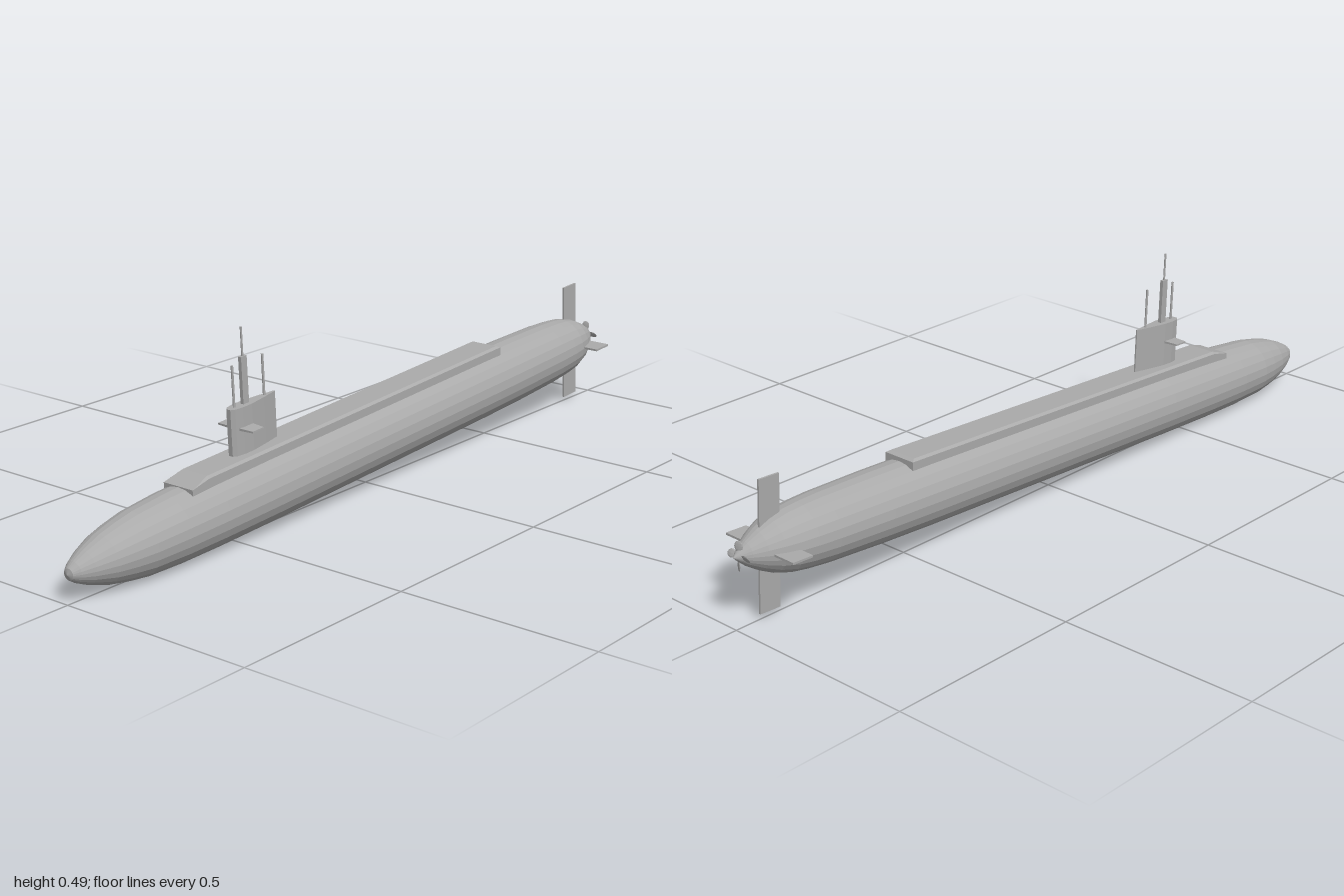
import * as THREE from 'three';
import { ConvexGeometry } from 'three/addons/geometries/ConvexGeometry.js';

export function createModel() {
  const model = new THREE.Group();
  model.name = 'submarine';
  const grey = new THREE.MeshStandardMaterial({ color: 0xaaaaaa, flatShading: true });
  grey.name = 'hull grey';

  // Everything is built on a level axis along x (bow at -x), then pitched slightly bow-down.
  const boat = new THREE.Group();
  boat.name = 'boat';
  boat.rotation.z = 0.052;
  boat.position.y = 0.128;
  model.add(boat);

  const add = (name, geometry, x = 0, y = 0, z = 0, parent = boat) => {
    const mesh = new THREE.Mesh(geometry, grey);
    mesh.name = name;
    mesh.position.set(x, y, z);
    parent.add(mesh);
    return mesh;
  };

  // Hull: 24-sided body of revolution
  const profile = [
    [0, -1], [0.014, -0.995], [0.025, -0.98], [0.04, -0.95], [0.058, -0.9], [0.069, -0.85],
    [0.077, -0.8], [0.083, -0.7], [0.086, -0.58], [0.0875, -0.4], [0.0875, 0.45], [0.086, 0.6],
    [0.082, 0.76], [0.078, 0.82], [0.073, 0.86], [0.062, 0.9], [0.046, 0.935], [0.028, 0.965],
    [0.012, 0.985], [0, 0.998],
  ].map(([r, x]) => new THREE.Vector2(r, x));
  add('hull', new THREE.LatheGeometry(profile, 24).rotateZ(-Math.PI / 2));

  // Missile deck: long casing with bevelled edges and a ramp at the bow end
  const deckPoints = [];
  for (const s of [-1, 1]) {
    for (const [x, y, z] of [
      [-0.655, 0.06, 0.044], [-0.655, 0.086, 0.044], [-0.6, 0.096, 0.044], [-0.6, 0.101, 0.037],
      [0.5, 0.101, 0.037], [0.51, 0.096, 0.044], [0.51, 0.06, 0.044],
    ]) deckPoints.push(new THREE.Vector3(x, y, s * z));
  }
  add('missileDeck', new ConvexGeometry(deckPoints));

  // Sail: teardrop plan, blunt toward the bow
  const half = [[-0.481, 0.006], [-0.472, 0.013], [-0.45, 0.017], [-0.42, 0.017], [-0.37, 0.01], [-0.324, 0.002]];
  const plan = [...half.map(([x, z]) => [x, -z]), ...half.slice().reverse()];
  const sailShape = new THREE.Shape(plan.map(([x, z]) => new THREE.Vector2(x, z)));
  const sail = new THREE.ExtrudeGeometry(sailShape, { depth: 0.133, bevelEnabled: false });
  add('sail', sail.rotateX(-Math.PI / 2), 0, 0.08, 0);

  // Sail planes, narrowing toward the tips
  for (const s of [-1, 1]) {
    const points = [];
    for (const [x, t, z] of [[-0.464, 0.003, 0.008], [-0.419, 0.003, 0.008], [-0.461, 0.002, 0.053], [-0.424, 0.002, 0.053]]) {
      for (const side of [-1, 1]) points.push(new THREE.Vector3(x, 0.163 + side * t, s * z));
    }
    add(s > 0 ? 'leftSailPlane' : 'rightSailPlane', new ConvexGeometry(points));
  }

  // Masts and periscopes
  const mast = (name, x, bottom, top, radius) =>
    add(name, new THREE.CylinderGeometry(radius, radius, top - bottom, 8), x, (bottom + top) / 2, 0);
  mast('forwardMast', -0.461, 0.2, 0.312, 0.003);
  mast('aftMast', -0.359, 0.2, 0.312, 0.003);
  mast('periscope', -0.425, 0.3, 0.394, 0.0025);
  add('periscopeFairing', new THREE.BoxGeometry(0.019, 0.125, 0.009), -0.425, 0.2625, 0);

  // Stern rudders and planes
  add('upperRudder', new THREE.BoxGeometry(0.057, 0.13, 0.005), 0.898, 0.095, 0);
  add('lowerRudder', new THREE.BoxGeometry(0.057, 0.13, 0.005), 0.898, -0.09, 0);
  for (const s of [-1, 1]) {
    add(s > 0 ? 'leftSternPlane' : 'rightSternPlane', new THREE.BoxGeometry(0.057, 0.005, 0.08), 0.898, 0, s * 0.069);
  }

  // Propeller: four oval blades, each pitched about its own radius
  const propeller = new THREE.Group();
  propeller.name = 'propeller';
  propeller.position.x = 0.982;
  boat.add(propeller);
  for (let i = 0; i < 4; i++) {
    const arm = new THREE.Group();
    arm.name = 'bladeArm';
    arm.rotation.x = i * Math.PI / 2;
    propeller.add(arm);
    const blade = new THREE.SphereGeometry(1, 8, 6).scale(0.002, 0.013, 0.01);
    add('blade', blade, 0, 0.023, 0, arm).rotation.y = 0.5;
  }
  return model;
}
